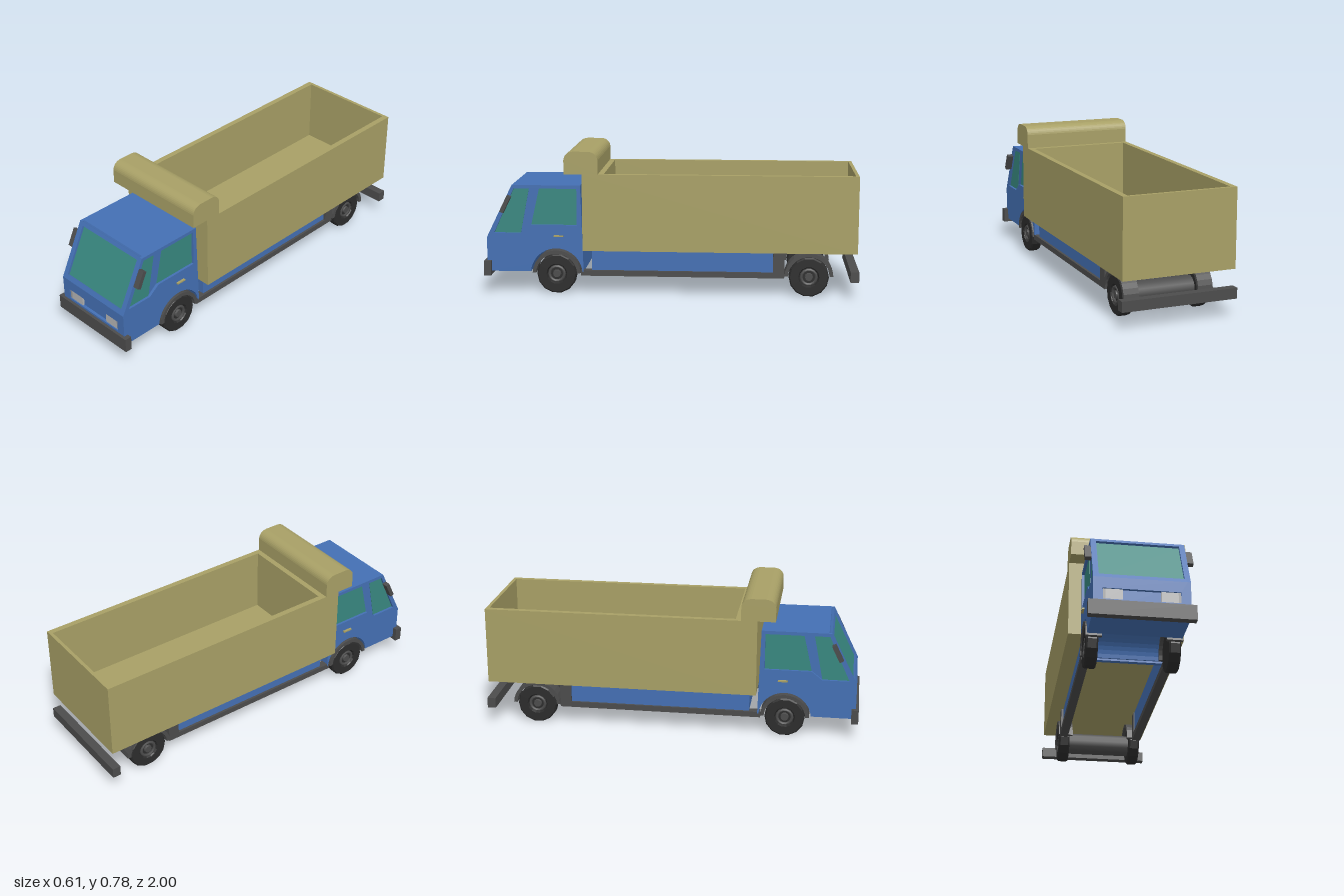
import * as THREE from 'three';

const mat = (color, extra = {}) => new THREE.MeshStandardMaterial({ color, ...extra });

export function createModel() {
  const truck = new THREE.Group();
  const blue = mat(0x4470b4), olive = mat(0xa8a066), glass = mat(0x388880);
  const grey = mat(0x4c4c4c), rubber = mat(0x2c2c2c, { flatShading: true });
  const lampWhite = mat(0xb4b4b4), signal = mat(0x999999);

  const add = (name, geometry, material, parent = truck) => {
    const mesh = new THREE.Mesh(geometry, material);
    mesh.name = name;
    parent.add(mesh);
    return mesh;
  };
  // Box given by its limits on each axis
  const box = (name, x0, x1, y0, y1, z0, z1, material, parent) => {
    const g = new THREE.BoxGeometry(x1 - x0, y1 - y0, z1 - z0);
    g.translate((x0 + x1) / 2, (y0 + y1) / 2, (z0 + z1) / 2);
    return add(name, g, material, parent);
  };
  const poly = (pts) => new THREE.Shape(pts.map(([a, b]) => new THREE.Vector2(a, b)));
  const rect = (a0, a1, b0, b1) => poly([[a0, b0], [a1, b0], [a1, b1], [a0, b1]]);
  const extrude = (shape, depth, curveSegments = 10) =>
    new THREE.ExtrudeGeometry(shape, { depth, bevelEnabled: false, curveSegments });
  // Side profile drawn in (z, y), extruded from x0 to x1
  const profile = (name, shape, x0, x1, material, parent, segments) =>
    add(name, extrude(shape, x1 - x0, segments).rotateY(-Math.PI / 2).translate(x1, 0, 0), material, parent);

  // ---- Cab ----
  const cab = new THREE.Group();
  cab.name = 'cab';
  truck.add(cab);
  const W = 0.235, IN = 0.22, recess = 0.014;
  const frontZ = 0.61, rearZ = -0.74, wheelY = 0.108;

  const cabShape = (setback) => {
    const s = new THREE.Shape();
    s.moveTo(0.985 - setback, 0.12);
    s.lineTo(0.985 - setback, 0.305);
    s.lineTo(0.845 - setback, 0.59);
    s.lineTo(0.478, 0.59);
    s.lineTo(0.464, 0.12);
    s.absarc(frontZ, wheelY, 0.14, Math.PI - 0.09, 0.09, true);
    s.closePath();
    return s;
  };
  profile('cabCore', cabShape(0.0156), -IN, IN, blue, cab);

  const windowOpening = [[0.945, 0.33], [0.835, 0.572], [0.498, 0.572], [0.498, 0.375], [0.745, 0.375], [0.802, 0.33]];
  const frontPane = [[0.945, 0.33], [0.835, 0.572], [0.754, 0.572], [0.802, 0.33]];
  const rearPane = [[0.7, 0.572], [0.498, 0.572], [0.498, 0.375], [0.745, 0.375]];
  for (const side of [-1, 1]) {
    const span = (a, b) => (side > 0 ? [a, b] : [-b, -a]);
    const wall = cabShape(0);
    wall.holes.push(poly(windowOpening));
    profile('cabSide', wall, ...span(IN, W), blue, cab);
    profile('frontSideWindow', poly(frontPane), ...span(IN - 0.005, IN + 0.002), glass, cab);
    profile('rearSideWindow', poly(rearPane), ...span(IN - 0.005, IN + 0.002), glass, cab);
    box('doorHandle', ...span(W, 0.247), 0.312, 0.32, 0.57, 0.622, olive, cab);

    // Mirror tilted with the windscreen
    const mirror = box('mirror', -0.017, 0.017, -0.048, 0.048, -0.011, 0.011, grey, cab);
    mirror.position.set(side * 0.25, 0.49, 0.878);
    mirror.rotation.x = -0.456;

    // Headlamp and turn signal
    box('headlamp', ...span(0.092, 0.175), 0.191, 0.246, 0.965, 0.98, lampWhite, cab);
    box('turnSignal', ...span(0.175, 0.187), 0.191, 0.246, 0.965, 0.98, signal, cab);
  }

  // Lower front panel with the lamp recess
  const panel = rect(-IN, IN, 0.12, 0.305);
  panel.holes.push(rect(-0.19, 0.187, 0.19, 0.247));
  add('frontPanel', extrude(panel, 0.0156).translate(0, 0, 0.985 - 0.0156), blue, cab);

  // Sloping windscreen frame and glass
  const slope = Math.atan2(0.14, 0.285), len = Math.hypot(0.14, 0.285);
  const s0 = (0.022 / 0.285) * len, s1 = (0.268 / 0.285) * len;
  const screen = new THREE.Group();
  screen.name = 'windscreen';
  screen.position.set(0, 0.305, 0.985);
  screen.rotation.x = -slope;
  cab.add(screen);
  const frame = rect(-IN, IN, 0, len);
  frame.holes.push(rect(-0.207, 0.207, s0, s1));
  add('windscreenFrame', extrude(frame, recess).translate(0, 0, -recess), blue, screen);
  box('windscreenGlass', -0.207, 0.207, s0, s1, -recess - 0.004, -recess + 0.002, glass, screen);

  // ---- Dump body ----
  const body = new THREE.Group();
  body.name = 'dumpBody';
  truck.add(body);
  const walls = rect(-0.3, 0.3, -0.46, 0.99);
  walls.holes.push(rect(-0.27, 0.27, -0.345, 0.972));
  add('bodyWalls', extrude(walls, 0.41).rotateX(-Math.PI / 2).scale(1, 1, 1).translate(0, 0.25, 0), olive, body);
  box('bodyFloor', -0.271, 0.271, 0.25, 0.31, -0.973, 0.346, olive, body);

  // Rounded canopy above the cab
  const canopy = new THREE.Shape();
  canopy.moveTo(0.375, 0.66);
  canopy.lineTo(0.555, 0.66);
  canopy.lineTo(0.555, 0.735);
  canopy.quadraticCurveTo(0.55, 0.775, 0.505, 0.78);
  canopy.lineTo(0.425, 0.78);
  canopy.quadraticCurveTo(0.38, 0.775, 0.375, 0.735);
  canopy.closePath();
  profile('canopy', canopy, -0.3, 0.3, olive, body, 8);

  // ---- Chassis ----
  for (const side of [-1, 1]) {
    const span = (a, b) => (side > 0 ? [a, b] : [-b, -a]);
    box('sideSkirt', ...span(0.195, 0.222), 0.13, 0.25, -0.55, 0.42, blue);
    box('lowerRail', ...span(0.19, 0.235), 0.1, 0.13, -0.61, 0.48, grey);
    box('railEnd', ...span(0.19, 0.235), 0.13, 0.25, -0.61, -0.55, grey);
  }
  box('frontCrossPanel', -0.195, 0.195, 0.13, 0.25, 0.395, 0.42, blue);
  box('frontBumper', -0.26, 0.26, 0.1, 0.178, 0.962, 1, grey);
  box('rearBumper', -0.307, 0.307, 0.1, 0.155, -1, -0.955, grey);
  add('rearAxle', new THREE.CylinderGeometry(0.06, 0.06, 0.36, 12).rotateZ(Math.PI / 2), grey)
    .position.set(0, wheelY, rearZ);

  // ---- Wheels and mudguards ----
  const tyreProfile = [[0, -0.03], [0.1, -0.03], [0.107, -0.022], [0.107, 0.022], [0.1, 0.03],
    [0.056, 0.03], [0.05, 0.018], [0, 0.018]].map(([r, h]) => new THREE.Vector2(r, h));
  const tyre = new THREE.LatheGeometry(tyreProfile, 14).rotateZ(-Math.PI / 2);
  const rim = new THREE.TorusGeometry(0.04, 0.008, 6, 14).rotateY(Math.PI / 2).translate(0.022, 0, 0);
  const hub = new THREE.CylinderGeometry(0.02, 0.024, 0.014, 10).rotateZ(-Math.PI / 2).translate(0.022, 0, 0);
  for (const z of [frontZ, rearZ]) {
    for (const side of [-1, 1]) {
      const wheel = new THREE.Group();
      wheel.name = z > 0 ? 'frontWheel' : 'rearWheel';
      wheel.position.set(side * 0.205, wheelY, z);
      wheel.rotation.y = side > 0 ? 0 : Math.PI;
      truck.add(wheel);
      add('tyre', tyre, rubber, wheel);
      add('rim', rim, grey, wheel);
      add('hub', hub, grey, wheel);

      const arch = new THREE.Shape();
      arch.absarc(z, wheelY, 0.13, 0.05, Math.PI - 0.05, false);
      arch.absarc(z, wheelY, 0.111, Math.PI - 0.05, 0.05, true);
      arch.closePath();
      const [a, b] = side > 0 ? [0.16, 0.241] : [-0.241, -0.16];
      profile('mudguard', arch, a, b, grey, truck, 7);
    }
  }
  return truck;
}
